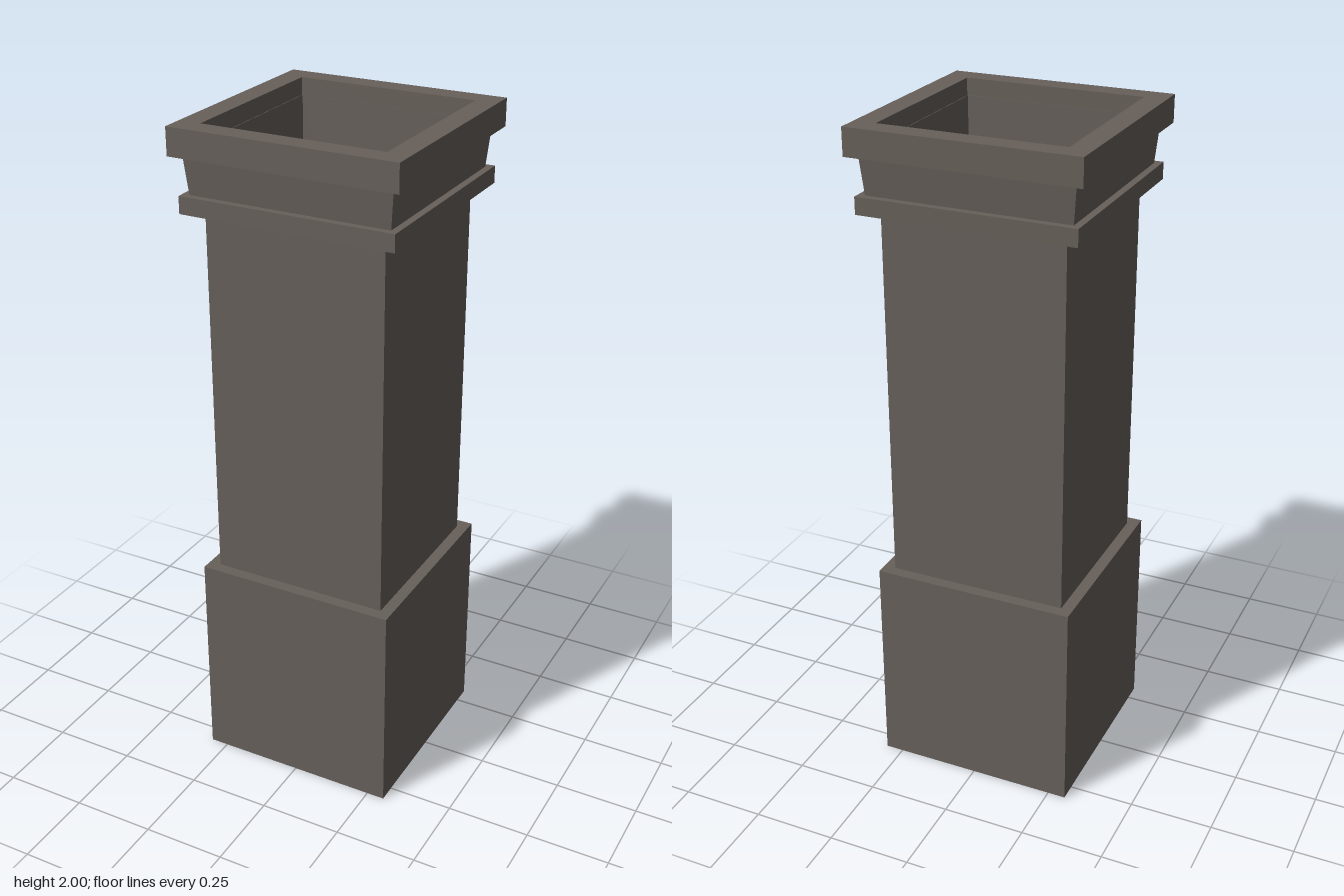
import * as THREE from 'three';

// Closed square ring swept from a counterclockwise [half width, height] profile
function squareRing(name, profile, material) {
  const points = [...profile, profile[0]].map(([half, y]) => new THREE.Vector2(half * Math.SQRT2, y));
  const geometry = new THREE.LatheGeometry(points, 4, Math.PI / 4).toNonIndexed();
  geometry.computeVertexNormals();
  const mesh = new THREE.Mesh(geometry, material);
  mesh.name = name;
  return mesh;
}

// Straight-sided tube between two heights
const tube = (outer, inner, y0, y1) => [[outer, y0], [outer, y1], [inner, y1], [inner, y0]];

export function createModel() {
  const stone = new THREE.MeshStandardMaterial({ color: 0x67605a, flatShading: true });
  stone.name = 'dark stone';

  const column = new THREE.Group();
  column.name = 'hollowColumn';

  // Wide base, closed at the top around the shaft
  column.add(squareRing('base', [
    [0.304, 0], [0.304, 0.65], [0.268, 0.65], [0.268, 0.63], [0.288, 0.63], [0.288, 0],
  ], stone));

  // Thin-walled shaft running inside the base and the capital
  column.add(squareRing('shaft', tube(0.269, 0.267, 0.16, 1.95), stone));

  // Capital: collar, flared neck and top slab
  column.add(squareRing('collar', tube(0.319, 0.268, 1.76, 1.81), stone));
  column.add(squareRing('flaredNeck', [
    [0.298, 1.81], [0.308, 1.92], [0.27, 1.92], [0.27, 1.81],
  ], stone));
  column.add(squareRing('capSlab', tube(0.337, 0.271, 1.92, 2), stone));

  return column;
}
